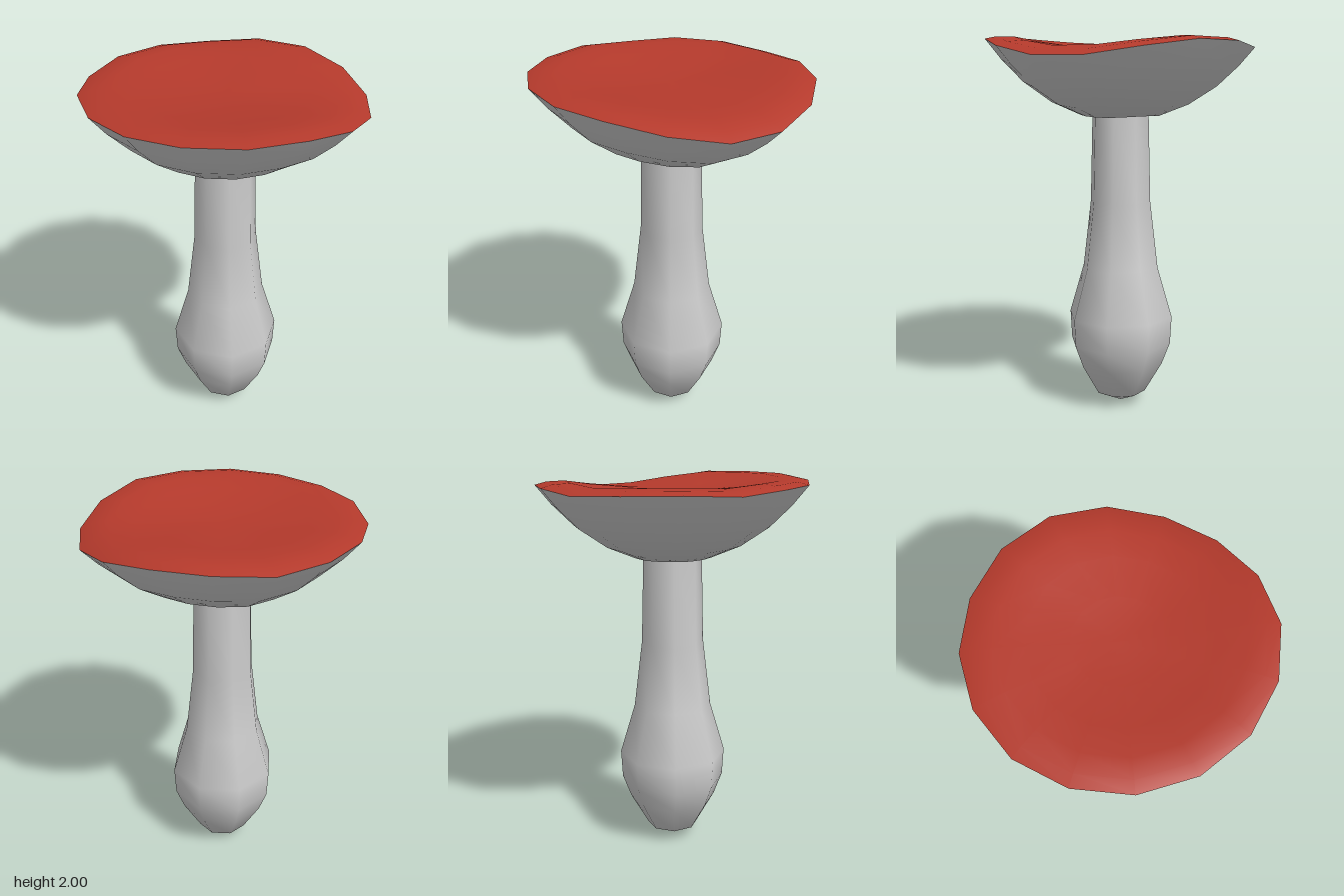
import * as THREE from 'three';
import { mergeVertices } from 'three/addons/utils/BufferGeometryUtils.js';

const SIDES = 16;
const RIM = 0.7;
const MEAN = 1.945;
// rim heights, one per side, starting at the front and turning towards +x
const rimHeights = [1.985, 1.98, 1.935, 1.885, 1.88, 1.92, 1.955, 1.955,
  1.935, 1.945, 1.95, 1.94, 1.96, 1.965, 1.975, 1.985];

// Lathe with welded seam and smooth normals; warp(x, y, z) returns a new height
function turned(profile, sides, warp) {
  let geo = new THREE.LatheGeometry(profile.map(([r, y]) => new THREE.Vector2(r, y)), sides);
  geo.deleteAttribute('uv');
  geo.deleteAttribute('normal');
  const p = geo.attributes.position;
  if (warp) {
    for (let i = 0; i < p.count; i++) p.setY(i, warp(p.getX(i), p.getY(i), p.getZ(i)));
  }
  geo = mergeVertices(geo, 1e-4);
  geo.computeVertexNormals();
  return geo;
}

// Wavy rim that fades out towards the middle of the cap
function wave(x, y, z) {
  const turn = Math.atan2(x, z) / (Math.PI * 2);
  const i = (Math.round(turn * SIDES) + SIDES) % SIDES;
  const fade = (Math.hypot(x, z) / RIM) ** 2;
  return y + (rimHeights[i] - MEAN) * fade;
}

function addPart(group, name, geometry, color) {
  const material = new THREE.MeshStandardMaterial({ color, side: THREE.DoubleSide });
  const mesh = new THREE.Mesh(geometry, material);
  mesh.name = name;
  group.add(mesh);
}

export function createModel() {
  const group = new THREE.Group();
  group.name = 'mushroom';

  // Stalk with a swollen foot and a pointed base
  addPart(group, 'stalk', turned([
    [0, 0], [0.14, 0.065], [0.235, 0.23], [0.28, 0.35], [0.288, 0.5],
    [0.208, 0.77], [0.165, 1.13], [0.153, 1.62],
  ], 8), 0xcccccc);

  // Bowl-shaped underside of the cap
  addPart(group, 'capUnderside', turned([
    [0, 1.585], [0.21, 1.588], [0.365, 1.65], [0.51, 1.745], [0.62, 1.85], [RIM, MEAN],
  ], SIDES, wave), 0xcccccc);

  // Shallow top of the cap, rolled over at the edge
  addPart(group, 'capTop', turned([
    [RIM, MEAN], [0.64, 1.963], [0.55, 1.97], [0.42, 1.955], [0.22, 1.938], [0, 1.93],
  ], SIDES, wave), 0xb53a2c);

  return group;
}
